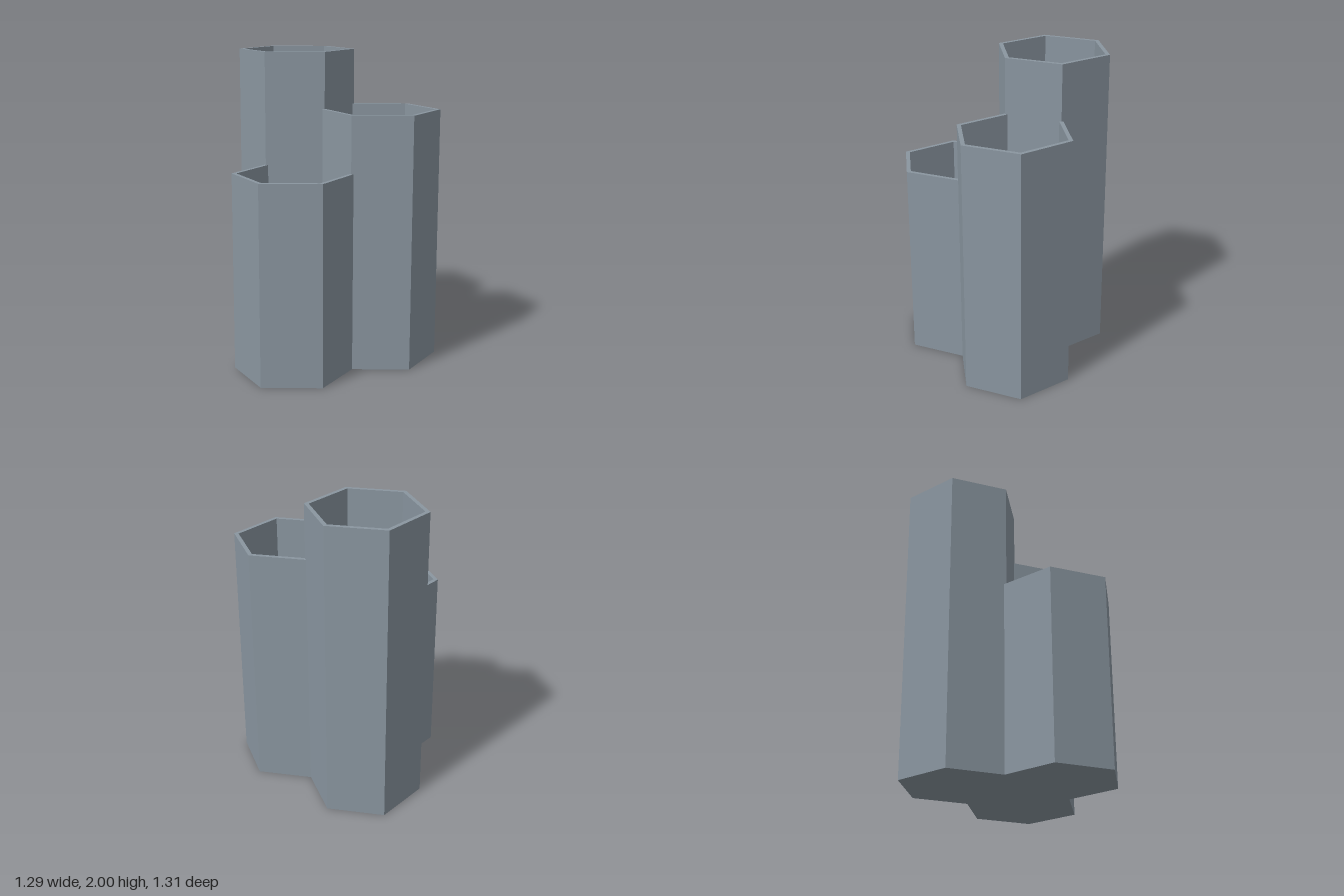
import * as THREE from 'three';

const OUTER = 0.381;   // corner radius of a tube
const INNER = 0.351;   // corner radius of its bore
const FLOOR = 0.03;    // thickness of the closed bottom
// Neighbouring tubes share one wall thickness
const PITCH = (OUTER + INNER) * Math.cos(Math.PI / 6);

// Hexagonal cup, corners pointing along z
function hexTube(name, height, x, z, material) {
  const profile = [
    [0, 0], [OUTER, 0], [OUTER, height], [INNER, height], [INNER, FLOOR], [0, FLOOR],
  ].map(([r, y]) => new THREE.Vector2(r, y));
  const mesh = new THREE.Mesh(new THREE.LatheGeometry(profile, 6), material);
  mesh.name = name;
  mesh.position.set(x, 0, z);
  return mesh;
}

export function createModel() {
  const group = new THREE.Group();
  group.name = 'hexagonalHolder';

  const slate = new THREE.MeshStandardMaterial({ color: 0x8a96a0 });
  slate.name = 'slate grey';
  slate.flatShading = true;

  // Three tubes on a triangular pitch, stepping down in height
  const z = PITCH * Math.sqrt(3) / 4;
  group.add(
    hexTube('tallBackTube', 2, 0, -z, slate),
    hexTube('middleLeftTube', 1.637, PITCH / 2, z, slate),
    hexTube('shortRightTube', 1.274, -PITCH / 2, z, slate),
  );
  return group;
}
